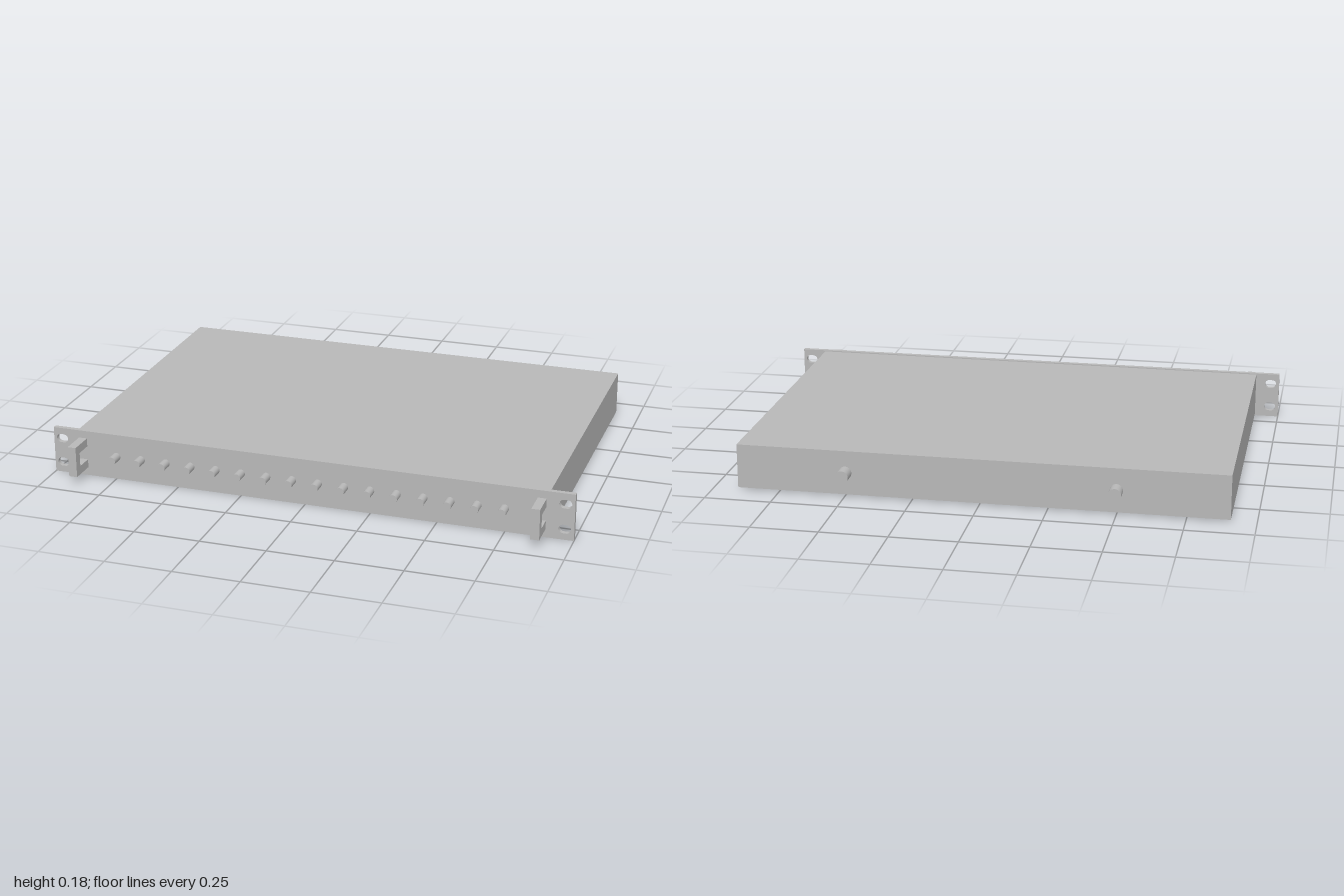
import * as THREE from 'three';

export function createModel() {
  const group = new THREE.Group();
  group.name = 'rackUnit';
  const metal = new THREE.MeshStandardMaterial({ color: 0xb8b8b8 });
  metal.name = 'grey metal';

  const add = (name, geometry, x, y, z) => {
    const mesh = new THREE.Mesh(geometry, metal);
    mesh.name = name;
    mesh.position.set(x, y, z);
    group.add(mesh);
    return mesh;
  };

  const midY = 0.09, panelBack = 0.574, panelFront = 0.592, bodyBack = -0.638;

  // Chassis box
  const depth = panelBack - bodyBack;
  add('chassis', new THREE.BoxGeometry(1.814, 0.167, depth), 0, midY, bodyBack + depth / 2);

  // Front panel with rounded mounting slots in its ears
  const panel = new THREE.Shape();
  panel.moveTo(-1, 0);
  panel.lineTo(1, 0);
  panel.lineTo(1, 0.178);
  panel.lineTo(-1, 0.178);
  panel.closePath();
  const slotR = 0.0165, slotHalf = 0.006;
  for (const x of [-0.966, 0.966]) {
    for (const y of [0.041, 0.137]) {
      const slot = new THREE.Path();
      slot.absarc(x + slotHalf, y, slotR, -Math.PI / 2, Math.PI / 2);
      slot.absarc(x - slotHalf, y, slotR, Math.PI / 2, Math.PI * 1.5);
      slot.closePath();
      panel.holes.push(slot);
    }
  }
  add('frontPanel', new THREE.ExtrudeGeometry(panel,
    { depth: panelFront - panelBack, bevelEnabled: false, curveSegments: 12 }), 0, 0, panelBack);

  // C-shaped handles, profile drawn in depth and height
  const grip = new THREE.Shape([
    [0, 0.032], [0.099, 0.032], [0.099, 0.149], [0, 0.149],
    [0, 0.117], [0.067, 0.117], [0.067, 0.064], [0, 0.064],
  ].map(([z, y]) => new THREE.Vector2(z, y)));
  const handleWidth = 0.032;
  const handleGeometry = new THREE.ExtrudeGeometry(grip, { depth: handleWidth, bevelEnabled: false });
  handleGeometry.rotateY(-Math.PI / 2).translate(handleWidth / 2, 0, 0);
  add('rightHandle', handleGeometry, -0.881, 0, panelFront);
  add('leftHandle', handleGeometry, 0.881, 0, panelFront);

  // Row of sixteen front connectors
  const frontPin = new THREE.CylinderGeometry(0.016, 0.016, 0.048, 24).rotateX(Math.PI / 2);
  for (let i = 0; i < 16; i++) {
    add('frontConnector' + (i + 1), frontPin, -0.747 + i * 0.0996, midY, panelFront + 0.024);
  }

  // Two rear connectors
  const rearPin = new THREE.CylinderGeometry(0.024, 0.024, 0.052, 32).rotateX(Math.PI / 2);
  add('rearConnectorRight', rearPin, -0.498, midY, bodyBack - 0.026);
  add('rearConnectorLeft', rearPin, 0.498, midY, bodyBack - 0.026);

  return group;
}
